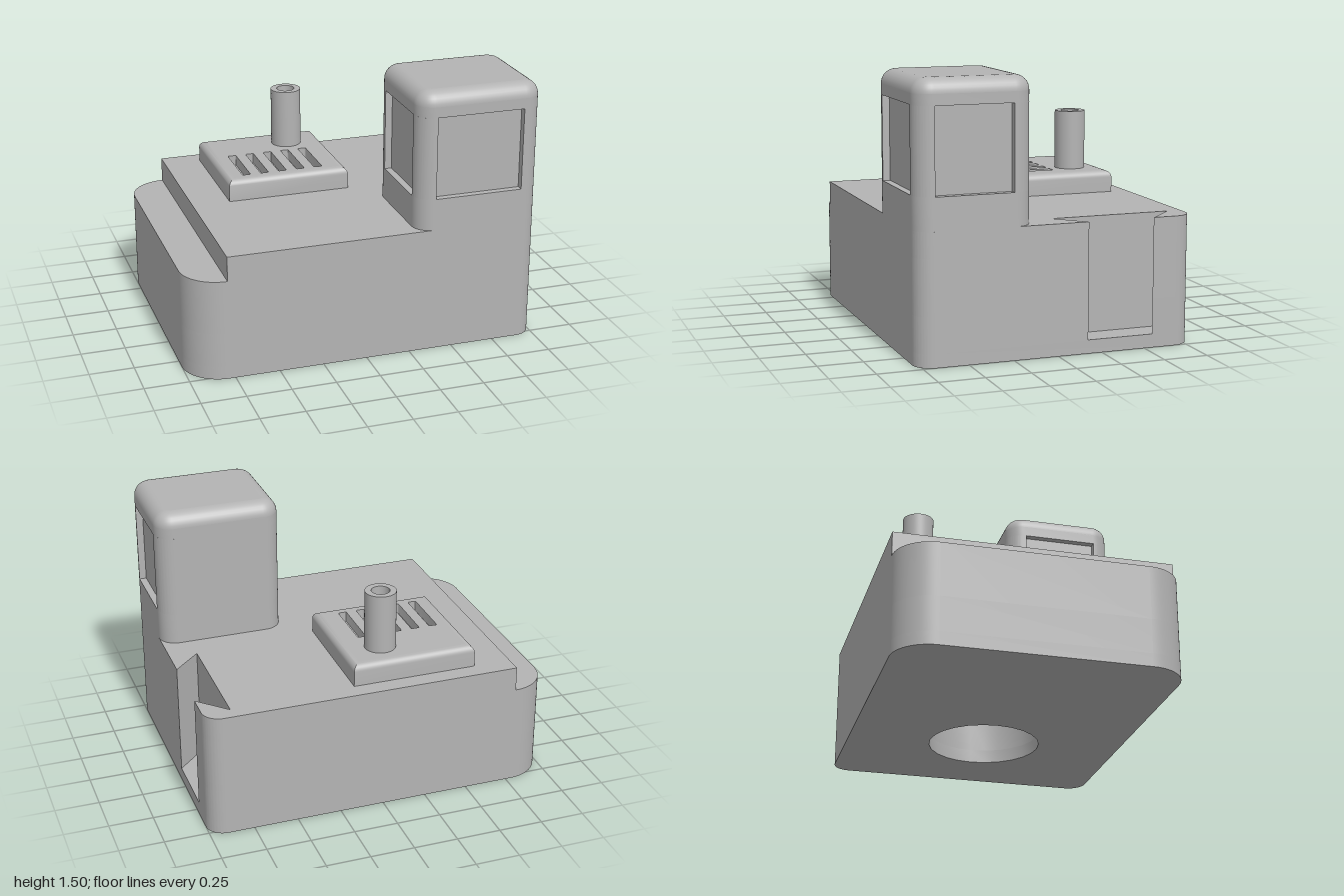
import * as THREE from 'three';
import { mergeGeometries, toCreasedNormals } from 'three/addons/utils/BufferGeometryUtils.js';

const CREASE = 0.6;

// Extrudes a plan outline (x, -z) from height y0 to y1
function slab(shape, y0, y1) {
  const g = new THREE.ExtrudeGeometry(shape, { depth: y1 - y0, bevelEnabled: false, curveSegments: 12 });
  g.rotateX(-Math.PI / 2).translate(0, y0, 0);
  g.deleteAttribute('uv');
  return toCreasedNormals(g, CREASE);
}

// Counter-clockwise rounded rectangle points; r = 0 gives sharp corners
function roundRect(cx, cv, hw, hd, r) {
  const pts = [], n = r > 0 ? 10 : 0;
  const corners = [[1, 1], [-1, 1], [-1, -1], [1, -1]];
  corners.forEach(([sx, sv], k) => {
    for (let i = 0; i <= n; i++) {
      const a = (k + (n ? i / n : 0)) * Math.PI / 2;
      pts.push(new THREE.Vector2(
        cx + sx * (hw - r) + r * Math.cos(a),
        cv + sv * (hd - r) + r * Math.sin(a)));
    }
  });
  return pts;
}

// Upright walls from y0 with a filleted upper edge ending at y1 (no cap)
function filletWalls(cx, cv, hw, hd, r, f, y0, y1) {
  const rings = [[0, y0]], steps = 8, pos = [], idx = [];
  for (let i = 0; i <= steps; i++) {
    const a = i / steps * Math.PI / 2;
    rings.push([f * (1 - Math.cos(a)), y1 - f + f * Math.sin(a)]);
  }
  let n = 0;
  for (const [inset, y] of rings) {
    const ring = roundRect(cx, cv, hw - inset, hd - inset, Math.max(r - inset, 0) || (r > 0 ? 0.001 : 0));
    n = ring.length;
    ring.forEach(p => pos.push(p.x, y, -p.y));
  }
  for (let i = 0; i < rings.length - 1; i++) {
    for (let j = 0; j < n; j++) {
      const a = i * n + j, b = i * n + (j + 1) % n;
      idx.push(a, b, b + n, a, b + n, a + n);
    }
  }
  const g = new THREE.BufferGeometry();
  g.setAttribute('position', new THREE.Float32BufferAttribute(pos, 3));
  g.setIndex(idx);
  return toCreasedNormals(g.toNonIndexed(), CREASE);
}

// Body plan with optional dovetail slot in the +x side
function bodyPlan(slot, upper) {
  const s = new THREE.Shape(), R = 0.215, q = Math.PI / 2;
  s.moveTo(-1 + R, -0.78);
  s.lineTo(0.9, -0.78);
  s.absarc(0.9, -0.68, 0.1, -q, 0);
  if (slot) [[1, 0.17], [0.845, 0.02], [0.845, 0.7], [1, 0.545]].forEach(p => s.lineTo(...p));
  s.lineTo(1, 0.68);
  s.absarc(0.9, 0.68, 0.1, 0, q);
  s.lineTo(-1 + R, 0.78);
  if (!upper) {
    s.absarc(-1 + R, 0.78 - R, R, q, 2 * q);
    s.lineTo(-1, -0.78 + R);
    s.absarc(-1 + R, -0.78 + R, R, 2 * q, 3 * q);
  }
  return s;
}

function withPivotHole(shape) {
  shape.holes.push(new THREE.Path().absarc(0.35, 0, 0.317, 0, Math.PI * 2, true));
  shape.curveSegments = 24;
  return shape;
}

// Cabin plan with window recesses on the front and both sides
function windowPlan() {
  const s = new THREE.Shape(), q = Math.PI / 2, r = 0.1, d = 0.04;
  const x0 = 0.285, x1 = 1, v0 = -0.78, v1 = -0.14;
  const path = pts => pts.forEach(p => s.lineTo(...p));
  s.moveTo(x0 + r, v0);
  path([[0.39, v0], [0.39, v0 + d], [0.89, v0 + d], [0.89, v0], [x1 - r, v0]]);
  s.absarc(x1 - r, v0 + r, r, -q, 0);
  path([[x1, -0.68], [x1 - d, -0.68], [x1 - d, -0.25], [x1, -0.25]]);
  s.absarc(x1 - r, v1 - r, r, 0, q);
  s.lineTo(x0 + r, v1);
  s.absarc(x0 + r, v1 - r, r, q, 2 * q);
  path([[x0, -0.25], [x0 + d, -0.25], [x0 + d, -0.68], [x0, -0.68]]);
  s.absarc(x0 + r, v0 + r, r, 2 * q, 3 * q);
  return s;
}

export function createModel() {
  const model = new THREE.Group();
  const grey = new THREE.MeshStandardMaterial({ color: 0xb4b4b4 });
  grey.name = 'plain grey';
  const add = (name, ...geos) => {
    const mesh = new THREE.Mesh(geos.length > 1 ? mergeGeometries(geos) : geos[0], grey);
    mesh.name = name;
    model.add(mesh);
  };

  // Body: layered so the slot, the pivot socket and the rear step open up
  add('body',
    slab(withPivotHole(bodyPlan(false, false)), 0, 0.075),
    slab(withPivotHole(bodyPlan(true, false)), 0.075, 0.27),
    slab(bodyPlan(true, false), 0.27, 0.575),
    slab(bodyPlan(true, true), 0.575, 0.715));

  // Cabin with recessed windows and a filleted roof
  const cab = [0.6425, -0.46, 0.3575, 0.32];
  const cabPlan = new THREE.Shape(roundRect(...cab, 0.1));
  const f = 0.08;
  add('cabin',
    slab(cabPlan, 0.7, 0.895),
    slab(windowPlan(), 0.895, 1.36),
    slab(cabPlan, 1.36, 1.42));
  add('cabinRoof',
    filletWalls(...cab, 0.1, f, 1.41, 1.5),
    slab(new THREE.Shape(roundRect(cab[0], cab[1], cab[2] - f, cab[3] - f, 0.02)), 1.45, 1.5));

  // Engine hood with five vent slots
  const hood = [-0.215, 0.325, 0.355, 0.355], hf = 0.04;
  const inner = [hood[0], hood[1], hood[2] - hf, hood[3] - hf, 0];
  const lid = new THREE.Shape(roundRect(...inner));
  for (let i = 0; i < 5; i++) {
    lid.holes.push(new THREE.Path(roundRect(-0.449 + i * 0.1075, 0.2025, 0.024, 0.1625, 0.008).reverse()));
  }
  add('engineHood',
    filletWalls(...hood, 0, hf, 0.7, 0.84),
    slab(lid, 0.78, 0.84),
    slab(new THREE.Shape(roundRect(...inner)), 0.71, 0.78));

  // Hollow exhaust pipe
  const profile = [[0.088, 0.8], [0.088, 1.18], [0.052, 1.18], [0.052, 0.86], [0, 0.86]]
    .map(p => new THREE.Vector2(...p));
  const pipe = toCreasedNormals(new THREE.LatheGeometry(profile, 40).toNonIndexed(), CREASE);
  pipe.translate(-0.075, 0, -0.502);
  add('exhaustPipe', pipe);

  return model;
}
